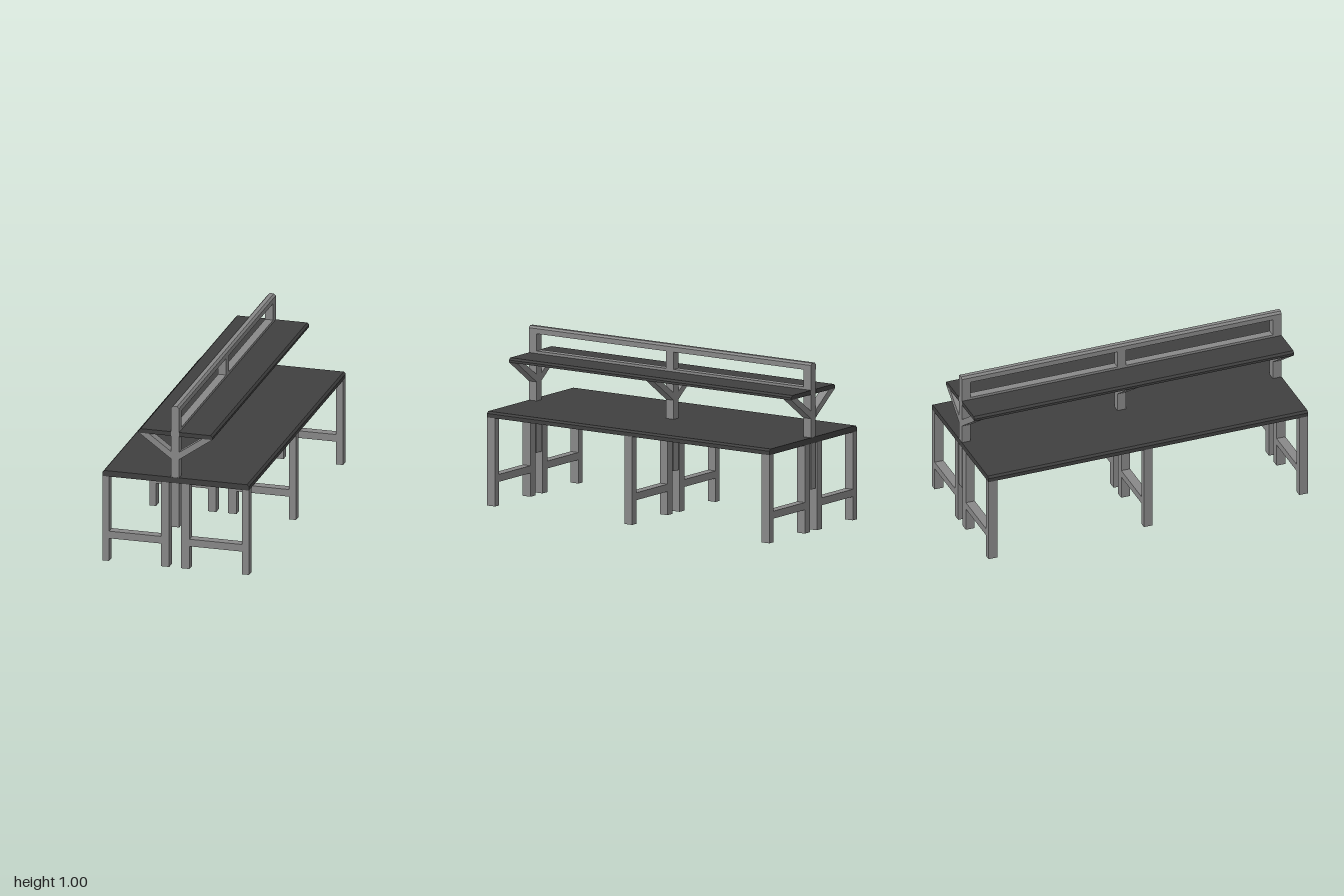
import * as THREE from 'three';

const steel = new THREE.MeshStandardMaterial({ color: 0x888888 });
const board = new THREE.MeshStandardMaterial({ color: 0x404040 });

// Extrudes an x-y outline along z, from z0 to z1
function prism(name, points, z0, z1, material) {
  const shape = new THREE.Shape(points.map(([x, y]) => new THREE.Vector2(x, y)));
  const geometry = new THREE.ExtrudeGeometry(shape, { depth: z1 - z0, bevelEnabled: false });
  geometry.translate(0, 0, z0);
  const mesh = new THREE.Mesh(geometry, material);
  mesh.name = name;
  return mesh;
}

// Rectangle outline with optional chamfers on the upper left and upper right corners
function outline(x0, x1, y0, y1, left = 0, right = 0) {
  const points = [[x0, y0], [x1, y0]];
  if (right) points.push([x1, y1 - right], [x1 - right, y1]);
  else points.push([x1, y1]);
  if (left) points.push([x0 + left, y1], [x0, y1 - left]);
  else points.push([x0, y1]);
  return points;
}

export function createModel() {
  const model = new THREE.Group();
  model.name = 'doubleSidedBench';
  const postL = -0.029, postR = 0.02;

  // Table top with chamfered long edges
  model.add(prism('tableTop', outline(-0.445, 0.443, 0.522, 0.557, 0.012, 0.012), -1, 1, board));

  // Shelf boards on either side of the centre rail
  model.add(prism('shelfRight', outline(-0.225, postL, 0.812, 0.838, 0.012, 0), -1, 1, board));
  model.add(prism('shelfLeft', outline(postR, 0.222, 0.812, 0.838, 0, 0.012), -1, 1, board));

  // Long rails joining the posts
  model.add(prism('topRail', outline(postL, postR, 0.955, 0.997, 0.012, 0.012), -1, 1, steel));
  model.add(prism('shelfRail', outline(postL, postR, 0.798, 0.853), -0.945, 0.945, steel));

  // Three identical support frames
  for (const z of [-0.972, 0, 0.972]) {
    const frame = new THREE.Group();
    frame.name = 'supportFrame';
    const add = (name, points, half = 0.0275) =>
      frame.add(prism(name, points, z - half, z + half, steel));

    add('outerLegRight', outline(-0.445, -0.404, 0, 0.522));
    add('innerLegRight', outline(-0.09, -0.04, 0, 0.522));
    add('innerLegLeft', outline(0.031, 0.083, 0, 0.522));
    add('outerLegLeft', outline(0.4, 0.443, 0, 0.522));
    add('stretcherRight', outline(-0.404, -0.09, 0.14, 0.184));
    add('stretcherLeft', outline(0.083, 0.4, 0.14, 0.184));
    add('post', outline(postL, postR, 0.25, 0.955), 0.0268);
    // Slanted braces under the shelf
    add('braceRight', [[-0.224, 0.812], [postL, 0.67], [postL, 0.715], [-0.162, 0.812]]);
    add('braceLeft', [[0.221, 0.812], [0.16, 0.812], [postR, 0.715], [postR, 0.67]]);
    model.add(frame);
  }
  return model;
}
